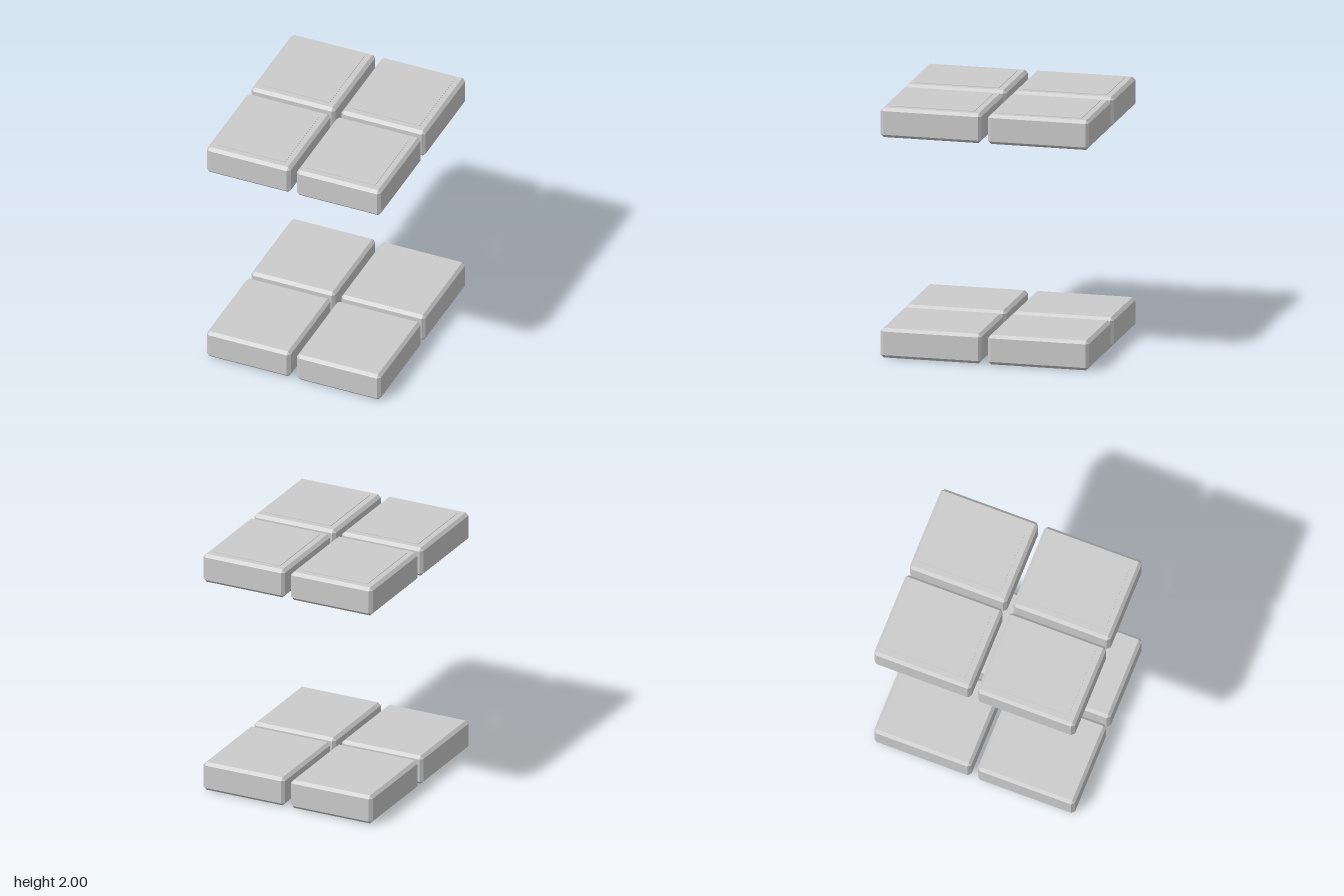
import * as THREE from 'three';
import { ConvexGeometry } from 'three/addons/geometries/ConvexGeometry.js';

// Box with every edge and corner chamfered by c
function chamferBox(w, h, d, c) {
  const points = [];
  for (const sx of [-1, 1]) for (const sy of [-1, 1]) for (const sz of [-1, 1]) {
    const x = w / 2, y = h / 2, z = d / 2;
    points.push(
      new THREE.Vector3(sx * x, sy * (y - c), sz * (z - c)),
      new THREE.Vector3(sx * (x - c), sy * y, sz * (z - c)),
      new THREE.Vector3(sx * (x - c), sy * (y - c), sz * z),
    );
  }
  return new ConvexGeometry(points);
}

export function createModel() {
  const model = new THREE.Group();
  model.name = 'cornerSlabs';
  const grey = new THREE.MeshStandardMaterial({ color: 0xcccccc, flatShading: true });
  grey.name = 'plain grey';

  const W = 0.708, H = 0.236, D = 0.806, GAP = 0.026, LIP = 0.004;
  const slabGeometry = chamferBox(W, H, D, 0.024);
  const panelGeometry = new THREE.BoxGeometry(W - 0.14, 0.02, D - 0.14);

  // Two layers of four slabs, mirrored across all three axes
  for (const level of [-1, 1]) for (const sx of [-1, 1]) for (const sz of [-1, 1]) {
    const corner = new THREE.Group();
    corner.name = `${level > 0 ? 'upper' : 'lower'}${sz > 0 ? 'Front' : 'Back'}${sx > 0 ? 'Left' : 'Right'}Slab`;
    corner.position.set(sx * (GAP + W / 2), 1 + level * (1 - LIP - H / 2), sz * (GAP + D / 2));

    const slab = new THREE.Mesh(slabGeometry, grey);
    slab.name = 'slab';

    // Barely raised panel on the outward face
    const panel = new THREE.Mesh(panelGeometry, grey);
    panel.name = 'raisedPanel';
    panel.position.y = level * (H / 2 + LIP - 0.01);

    corner.add(slab, panel);
    model.add(corner);
  }
  return model;
}
